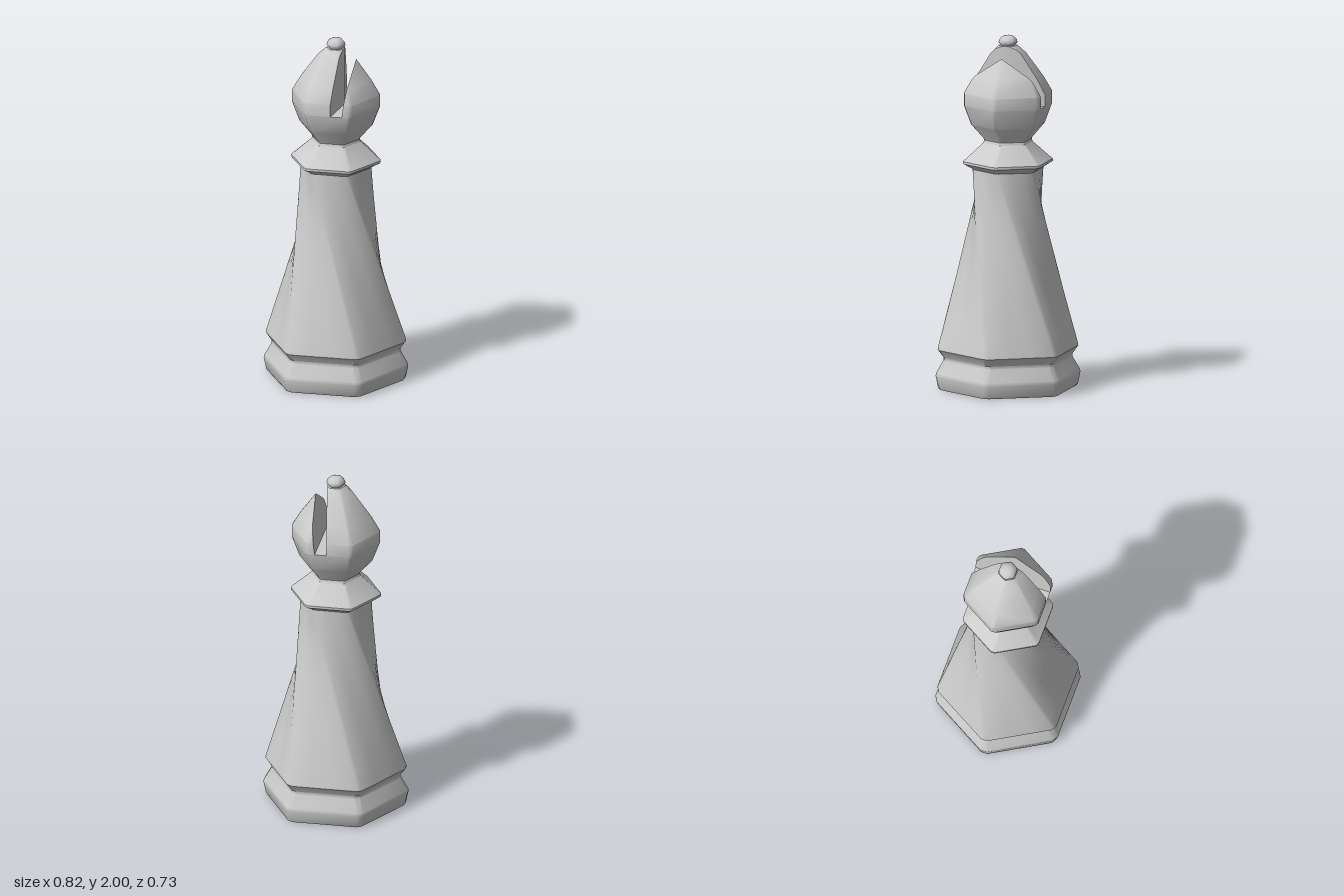
import * as THREE from 'three';
import { mergeGeometries, toCreasedNormals } from 'three/addons/utils/BufferGeometryUtils.js';
import { ConvexGeometry } from 'three/addons/geometries/ConvexGeometry.js';

const BEVEL = [0.05, 0.95];

// Hexagon ring with points on the x axis; each side gets points at the given fractions
function hexRing(y, r, fractions = BEVEL) {
  const corner = (k) => new THREE.Vector3(r * Math.cos(k * Math.PI / 3), y, r * Math.sin(k * Math.PI / 3));
  const ring = [];
  for (let k = 0; k < 6; k++) {
    for (const f of fractions) ring.push(corner(k).lerp(corner(k + 1), f));
  }
  return ring;
}

// Capped skin through a stack of rings
function loft(rings) {
  const pos = [];
  const tri = (...pts) => pts.forEach((p) => pos.push(p.x, p.y, p.z));
  const n = rings[0].length;
  const centre = (ring) => new THREE.Vector3(0, ring[0].y, 0);
  const first = rings[0], last = rings[rings.length - 1];
  for (let i = 0; i < n; i++) {
    const j = (i + 1) % n;
    for (let r = 0; r < rings.length - 1; r++) {
      const a = rings[r], b = rings[r + 1];
      tri(a[i], b[i], a[j]);
      tri(b[i], b[j], a[j]);
    }
    tri(centre(first), first[i], first[j]);
    tri(centre(last), last[j], last[i]);
  }
  const geo = new THREE.BufferGeometry();
  geo.setAttribute('position', new THREE.Float32BufferAttribute(pos, 3));
  return geo;
}

const hexLoft = (profile, fractions) => loft(profile.map(([y, r]) => hexRing(y, r, fractions)));

// Convex stack of rings cut by planes, keeping the positive side of each
function cutHull(rings, planes) {
  let kept = rings.flat();
  let edges = [];
  rings.forEach((ring, r) => ring.forEach((p, i) => {
    edges.push([p, ring[(i + 1) % ring.length]]);
    if (rings[r + 1]) edges.push([p, rings[r + 1][i]]);
    else edges.push([p, ring[(i + 6) % ring.length]]);
    if (r === 0) edges.push([p, ring[(i + 6) % ring.length]]);
  }));
  for (const plane of planes) {
    const inside = (p) => plane.distanceToPoint(p) >= 0;
    const cuts = [], nextEdges = [];
    for (const [a, b] of edges) {
      const ia = inside(a), ib = inside(b);
      if (ia && ib) nextEdges.push([a, b]);
      if (ia === ib) continue;
      const da = plane.distanceToPoint(a), db = plane.distanceToPoint(b);
      const c = a.clone().lerp(b, da / (da - db));
      cuts.push(c);
      nextEdges.push(ia ? [a, c] : [c, b]);
    }
    // join the new points so that a following plane can cut the fresh face
    cuts.forEach((c, i) => cuts.slice(i + 1).forEach((d) => nextEdges.push([c, d])));
    kept = kept.filter(inside).concat(cuts);
    edges = nextEdges;
  }
  const geo = new ConvexGeometry(kept);
  geo.deleteAttribute('normal');
  return geo;
}

export function createModel() {
  const stone = new THREE.MeshStandardMaterial({ color: 0xcccccc });
  stone.name = 'pale grey';
  const group = new THREE.Group();
  group.name = 'bishopPiece';
  const add = (name, geo, crease = 0.6) => {
    const mesh = new THREE.Mesh(toCreasedNormals(geo, crease), stone);
    mesh.name = name;
    group.add(mesh);
  };

  // Grooved foot
  add('base', hexLoft([[0, 0.4], [0.01, 0.406], [0.075, 0.42], [0.09, 0.418], [0.165, 0.374], [0.18, 0.374], [0.225, 0.408], [0.235, 0.406]]));

  // Shaft: straight edges leaning one sixth of a turn from bottom to top
  const sides = [0.04, 0.34, 0.66, 0.96];
  const low = hexRing(0.235, 0.406, sides), high = hexRing(1.25, 0.205, sides);
  const rows = 10, shaft = [];
  for (let k = 0; k <= rows; k++) {
    shaft.push(low.map((p, i) => p.clone().lerp(high[(i + sides.length) % high.length], k / rows)));
  }
  add('shaft', loft(shaft));

  // Collar
  add('collar', hexLoft([[1.235, 0.195], [1.25, 0.21], [1.278, 0.26], [1.292, 0.26], [1.395, 0.142], [1.42, 0.136]]));

  // Head: whole below the slot floor, two cut halves above it
  const floor = 1.61;
  const lower = hexLoft([[1.405, 0.136], [1.42, 0.142], [1.5, 0.214], [floor, 0.256]]);
  const crown = [[floor, 0.256], [1.68, 0.256], [1.765, 0.205], [1.9, 0.105], [1.945, 0.055]].map(([y, r]) => hexRing(y, r));
  const cut = (nx, ny, nz, x, y) => new THREE.Plane().setFromNormalAndCoplanarPoint(
    new THREE.Vector3(nx, ny, nz).normalize(), new THREE.Vector3(x, y, 0));
  const mainHalf = cutHull(crown, [cut(-1, 0, -0.15, 0.048, floor), cut(-1, 0, 0.15, 0.048, floor)]);
  const slicedHalf = cutHull(crown, [cut(1, -0.13, 0, 0.08, floor)]);
  add('head', mergeGeometries([lower, mainHalf, slicedHalf]));

  // Knob on top
  add('finial', hexLoft([[1.93, 0.036], [1.945, 0.042], [1.96, 0.056], [1.975, 0.055], [1.993, 0.038], [2, 0.02]], [0.15, 0.85]), 0.9);

  return group;
}
